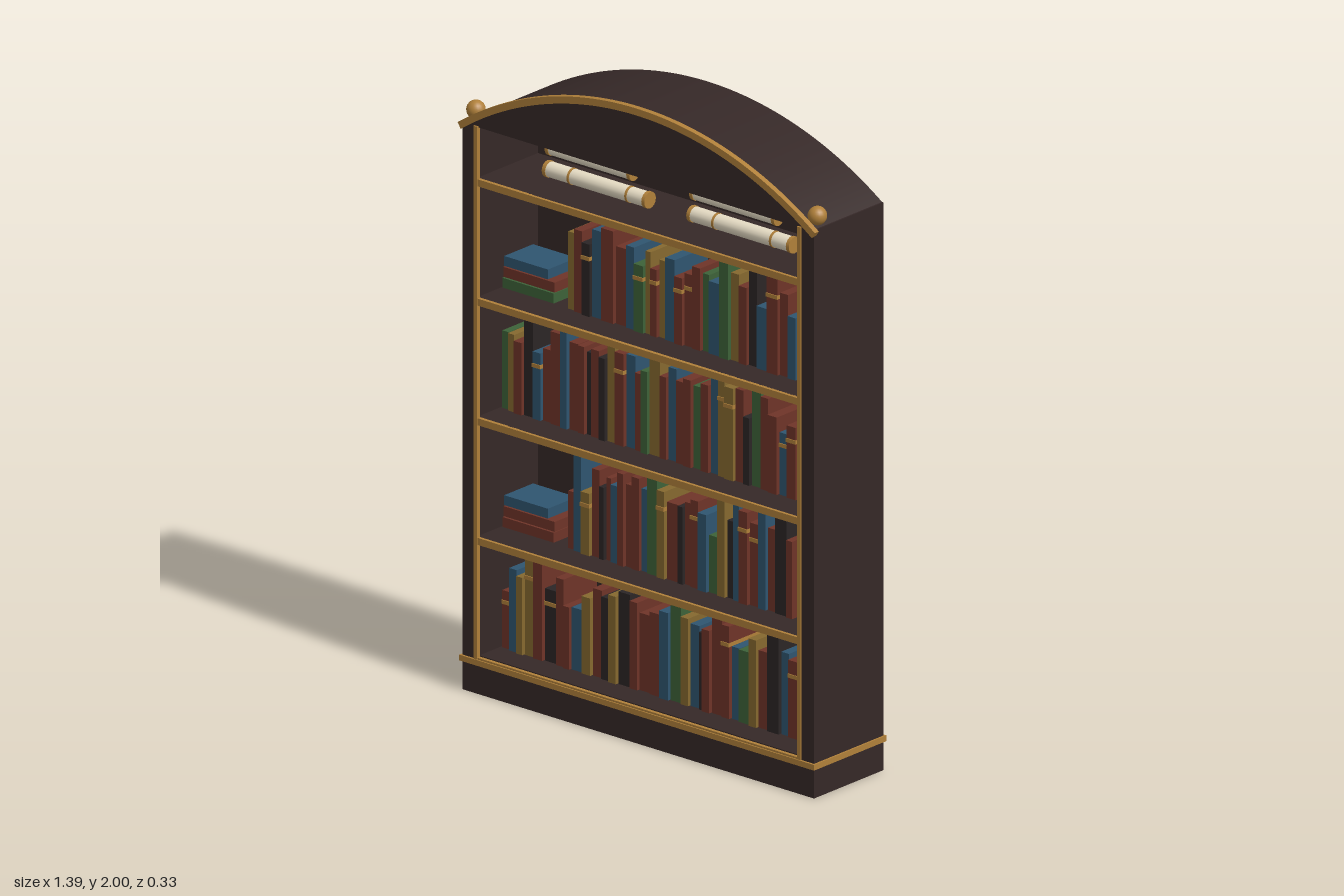
import * as THREE from 'three';
import { toCreasedNormals } from 'three/addons/utils/BufferGeometryUtils.js';

const mat = (name, color) => Object.assign(new THREE.MeshStandardMaterial({ color }), { name });
const wood = mat('dark wood', 0x352827);
const brass = mat('brass', 0xb0803a);
const parchment = mat('parchment', 0xe6dcc4);
const covers = {
  r: mat('red leather', 0x6f3428),
  b: mat('blue cloth', 0x2f5570),
  g: mat('green cloth', 0x3d6238),
  y: mat('ochre cloth', 0x86692f),
  k: mat('black leather', 0x2b2526),
};

// Each book: cover letter (capital = brass band), thickness digit, height digit
const rows = [
  { y: 0.115, x0: -0.627, x1: 0.535,
    books: 'R60 b65 y54 Y78 r79 K93 r66 r51 b81 y74 r76 k65 y66 k97 r66 r84 r85 b76 g89 y66 b75 k34 r65 r89 R67 b63 g83 y66 r74 k98 b65 R84' },
  { y: 0.492, x0: -0.37, x1: 0.515, stack: 'rrb',
    books: 'r50 b68 Y71 r66 k43 r45 b64 r57 r55 r67 b55 g88 Y66 r94 k44 r55 R66 b74 g70 y68 k54 b58 R77 R75 b68 r65 k98 r54' },
  { y: 0.868, x0: -0.627, x1: 0.56,
    books: 'g54 y54 r63 k78 B62 r63 r87 b58 r76 r56 k45 r66 k55 y68 R77 b77 r54 g55 y88 r55 b67 r65 r66 g65 r66 b69 Y58 Y77 r67 k52 g78 r67 r74 B61 R73 Y62' },
  { y: 1.244, x0: -0.37, x1: 0.56, stack: 'grb',
    books: 'y54 r65 K63 b76 r97 r84 b65 G72 y45 R52 y54 b75 R62 R63 r65 g54 b83 g78 y66 r64 k69 b81 R88 r65 b61 Y64' },
];
const shelfHeights = [0.481, 0.857, 1.233, 1.608];

function add(parent, name, geometry, material, x = 0, y = 0, z = 0) {
  const mesh = new THREE.Mesh(geometry, material);
  mesh.name = name;
  mesh.position.set(x, y, z);
  parent.add(mesh);
  return mesh;
}
const box = (parent, name, material, w, h, d, x, y, z) =>
  add(parent, name, new THREE.BoxGeometry(w, h, d), material, x, y, z);

function extrude(shape, depth) {
  return toCreasedNormals(
    new THREE.ExtrudeGeometry(shape, { depth, bevelEnabled: false, curveSegments: 48 }), 0.4);
}

// Book standing on its local origin, spine towards +z
function makeBook(name, material, w, h, banded) {
  const book = new THREE.Group();
  book.name = name;
  box(book, 'cover', material, w, h, 0.15, 0, h / 2, 0);
  if (banded) box(book, 'spineBand', brass, w + 0.002, 0.012, 0.156, 0, h * 0.8, 0);
  return book;
}

function makeRow({ y, x0, x1, stack, books }) {
  const row = new THREE.Group();
  row.name = 'bookRow';
  const list = books.split(' ');
  const unit = (x1 - x0) / list.reduce((sum, b) => sum + Number(b[1]), 0);
  let x = x0;
  list.forEach((b, i) => {
    const pitch = Number(b[1]) * unit, key = b[0].toLowerCase();
    const h = 0.18 + Number(b[2]) * 0.0158;
    const book = makeBook('book', covers[key], pitch - 0.003, h, key !== b[0]);
    book.position.set(x + pitch / 2, y, -0.03 + ((i * 7) % 5) * 0.003);
    row.add(book);
    x += pitch;
  });
  // Lying books at the left end of the shelf
  [...(stack || '')].forEach((key, i) => {
    const w = [0.2, 0.2, 0.17][i];
    box(row, 'lyingBook', covers[key], w, 0.031, 0.145 - i * 0.008, -0.627 + w / 2, y + 0.016 + i * 0.033, -0.03);
  });
  // Leaning book at the right end
  const leaning = makeBook('leaningBook', covers.y, 0.028, 0.25, false);
  leaning.position.set(0.598, y + 0.002, -0.03);
  leaning.rotation.z = 0.21;
  row.add(leaning);
  return row;
}

function makeScroll(x0, x1, y, z, r) {
  const scroll = new THREE.Group();
  scroll.name = 'scroll';
  const tube = (name, material, radius, length, x) => {
    add(scroll, name, new THREE.CylinderGeometry(radius, radius, length, 16), material, x, y, z).rotation.z = Math.PI / 2;
  };
  tube('paper', parchment, r, x1 - x0 - 0.01, (x0 + x1) / 2);
  for (const x of [x0 + 0.006, x1 - 0.006]) tube('endCap', brass, r + 0.002, 0.012, x);
  return scroll;
}

export function createModel() {
  const model = new THREE.Group();
  model.name = 'bookcase';

  // Carcass
  box(model, 'plinth', wood, 1.37, 0.092, 0.31, 0, 0.046, 0);
  box(model, 'baseMoulding', brass, 1.382, 0.018, 0.324, 0, 0.1, 0);
  box(model, 'floorBoard', wood, 1.27, 0.014, 0.28, 0, 0.108, 0);
  box(model, 'backPanel', wood, 1.28, 1.68, 0.02, 0, 0.945, -0.132);
  for (const s of [-1, 1]) {
    box(model, 'sidePanel', wood, 0.053, 1.68, 0.31, s * 0.6585, 0.945, 0);
    box(model, 'sideTrim', brass, 0.014, 1.675, 0.014, s * 0.63, 0.9475, 0.154);
    add(model, 'finial', new THREE.SphereGeometry(0.029, 20, 14), brass, s * 0.665, 1.817, 0.117);
  }

  // Arched crown
  const cy = 0.778, a = Math.asin(0.685 / 1.215), t = 0.606, mid = Math.PI / 2;
  const crown = new THREE.Shape();
  crown.absarc(0, cy, 1.215, mid - a, mid + a, false);
  crown.closePath();
  add(model, 'crown', extrude(crown, 0.31), wood, 0, 0, -0.155);
  const trim = new THREE.Shape();
  trim.absarc(0, cy, 1.222, mid - t, mid + t, false);
  trim.absarc(0, cy, 1.2, mid + t, mid - t, true);
  add(model, 'crownTrim', extrude(trim, 0.018), brass, 0, 0, 0.146);

  // Shelves with brass edging
  for (const y of shelfHeights) {
    box(model, 'shelf', wood, 1.265, 0.022, 0.272, 0, y, 0.012);
    box(model, 'shelfEdge', brass, 1.25, 0.022, 0.012, 0, y, 0.152);
  }
  box(model, 'bottomEdge', brass, 1.25, 0.022, 0.012, 0, 0.104, 0.152);

  // Contents
  for (const row of rows) model.add(makeRow(row));
  for (const x of [-0.48, 0.083]) {
    model.add(makeScroll(x, x + 0.4, 1.647, 0.01, 0.024));
    model.add(makeScroll(x, x + 0.33, 1.71, 0, 0.021));
    for (const bx of [x + 0.1, x + 0.325]) {
      const band = add(model, 'scrollBand', new THREE.CylinderGeometry(0.0255, 0.0255, 0.008, 16), brass, bx, 1.647, 0.01);
      band.rotation.z = Math.PI / 2;
    }
  }
  return model;
}
